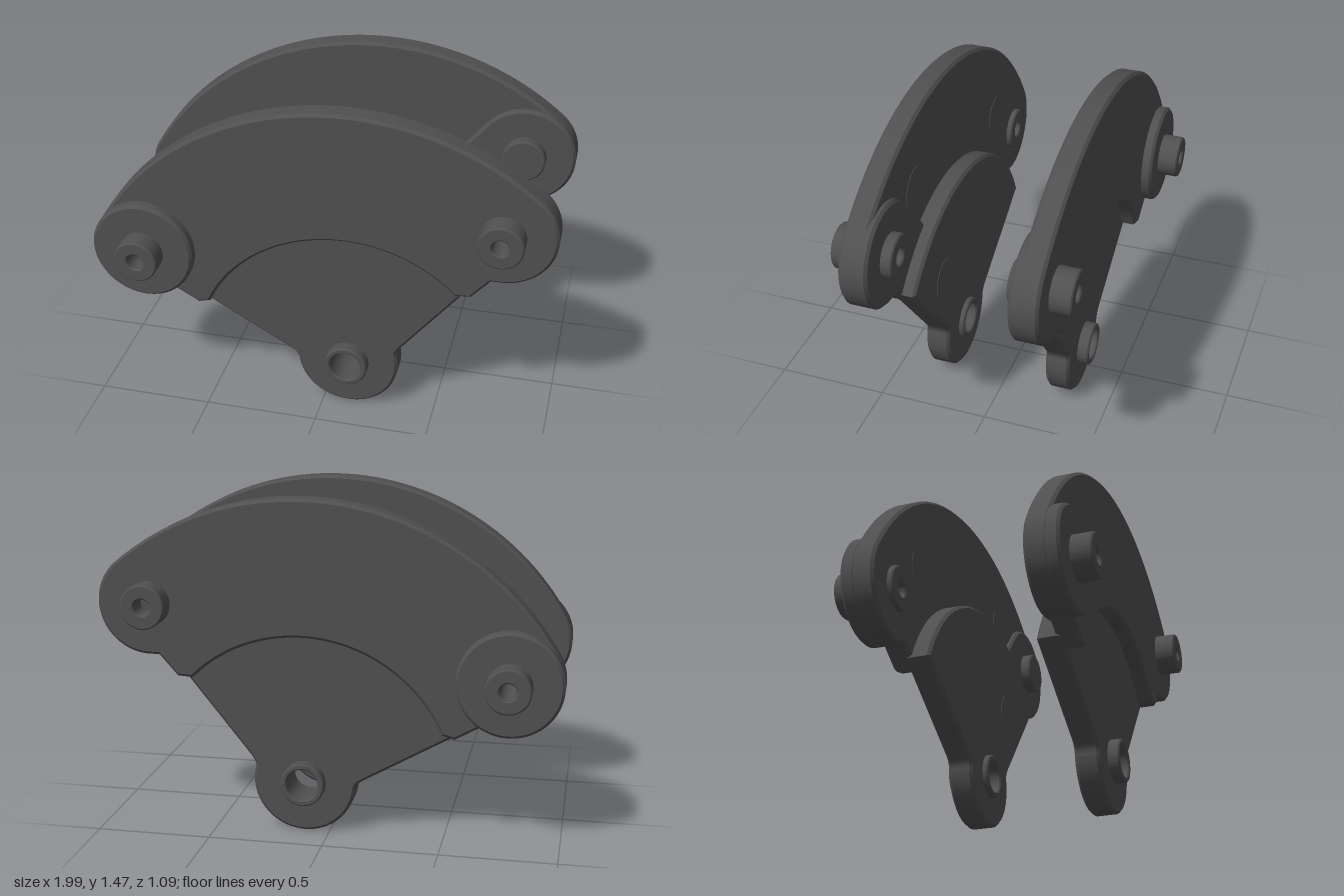
import * as THREE from 'three';
import { toCreasedNormals } from 'three/addons/utils/BufferGeometryUtils.js';

const rad = THREE.MathUtils.degToRad;
const material = new THREE.MeshStandardMaterial({ color: 0x505050 });

// Layout: both lugs sit on one arc around the pivot
const PIVOT = [0.11, 0.23];
const LEFT_ANGLE = 149.8, RIGHT_ANGLE = 50;
const LUG_R = 0.225, OUTER_R = 1.25, BOSS_R = 0.096;
const polar = (angle, r) => [
  PIVOT[0] + r * Math.cos(rad(angle)),
  PIVOT[1] + r * Math.sin(rad(angle)),
];
const LEFT_LUG = polar(LEFT_ANGLE, OUTER_R - LUG_R);
const RIGHT_LUG = polar(RIGHT_ANGLE, OUTER_R - LUG_R);

function arc(shape, [x, y], r, from, to, clockwise) {
  shape.absarc(x, y, r, rad(from), rad(to), clockwise);
}

function circle([x, y], r) {
  return new THREE.Shape().absarc(x, y, r, 0, Math.PI * 2, false);
}

// Bevelled slab between two depths; holes are [centre, radius]
function slab(name, outline, z0, z1, bevel, holes = []) {
  const points = outline.getPoints(40);
  const clean = points.filter((p, i) =>
    p.distanceTo(points[(i + 1) % points.length]) > 1e-4);
  const shape = new THREE.Shape(clean);
  shape.holes = holes.map(([c, r]) => new THREE.Path(circle(c, r).getPoints(24).slice(0, -1)));
  const geometry = new THREE.ExtrudeGeometry(shape, {
    depth: z1 - z0 - 2 * bevel,
    bevelEnabled: bevel > 0,
    bevelThickness: bevel,
    bevelSize: bevel,
    bevelOffset: -bevel,
    bevelSegments: 1,
  });
  geometry.translate(0, 0, z0 + bevel);
  const mesh = new THREE.Mesh(toCreasedNormals(geometry, 0.5), material);
  mesh.name = name;
  return mesh;
}

// Crescent plate joining the two lugs
function crescentOutline() {
  const s = new THREE.Shape();
  arc(s, PIVOT, OUTER_R, LEFT_ANGLE, RIGHT_ANGLE, true);
  arc(s, RIGHT_LUG, LUG_R, RIGHT_ANGLE, -90, true);
  s.lineTo(0.73, 0.79);
  s.lineTo(0.65, 0.7);
  s.lineTo(0.585, 0.695);
  arc(s, PIVOT, 0.663, 45, 156, false);
  s.lineTo(-0.55, 0.485);
  s.lineTo(-0.655, 0.545);
  arc(s, LEFT_LUG, LUG_R, -64, LEFT_ANGLE - 360, true);
  return s;
}

// Fan plate running from the pivot eye to under the crescent
function fanOutline() {
  const s = new THREE.Shape();
  arc(s, PIVOT, 0.77, 42.3, 158.5, false);
  s.lineTo(-0.15, 0.25);
  s.quadraticCurveTo(-0.112, 0.23, ...polar(190, LUG_R));
  arc(s, PIVOT, LUG_R, 190, 373, false);
  s.quadraticCurveTo(0.32, 0.305, 0.36, 0.35);
  return s;
}

// Right lug pad, with an arm reaching back towards the pivot
function armOutline() {
  const s = new THREE.Shape();
  const dir = new THREE.Vector2(Math.cos(rad(RIGHT_ANGLE)), Math.sin(rad(RIGHT_ANGLE)));
  const at = (along, side) => [
    PIVOT[0] + dir.x * along - dir.y * side,
    PIVOT[1] + dir.y * along + dir.x * side,
  ];
  arc(s, RIGHT_LUG, LUG_R, -90, RIGHT_ANGLE + 90, false);
  s.lineTo(...at(0.68, LUG_R));
  s.lineTo(...at(0.68, -0.11));
  s.lineTo(...at(0.82, -0.11));
  return s;
}

function createSide(blindRightHole) {
  const side = new THREE.Group();
  const seat = 0.08;
  side.add(
    slab('crescentPlate', crescentOutline(), 0.31, 0.41, 0.012,
      [[LEFT_LUG, seat], [RIGHT_LUG, seat]]),
    slab('fanPlate', fanOutline(), 0.23, 0.34, 0.012, [[PIVOT, seat]]),
    slab('leftLugPad', circle(LEFT_LUG, LUG_R), 0.39, 0.457, 0.012, [[LEFT_LUG, seat]]),
    slab('rightLugArm', armOutline(), 0.287, 0.335, 0.012, [[RIGHT_LUG, seat]]),
    // Hollow bosses
    slab('leftBoss', circle(LEFT_LUG, BOSS_R), 0.285, 0.547, 0.006, [[LEFT_LUG, 0.036]]),
    slab('rightBoss', circle(RIGHT_LUG, BOSS_R), 0.24, 0.502, 0.006, [[RIGHT_LUG, 0.036]]),
    slab('pivotBoss', circle(PIVOT, BOSS_R), 0.207, 0.39, 0.006, [[PIVOT, 0.07]]),
  );
  // Nearly flush round marks on the inner faces
  const marks = [[0.43, 1.12, 0.31], [-0.54, 0.945, 0.31], [0.345, 0.61, 0.23]];
  for (const [x, y, z] of marks) {
    side.add(slab('innerMark', circle([x, y], 0.1), z - 0.002, z + 0.01, 0));
  }
  if (blindRightHole) {
    side.add(slab('rightBossPlug', circle(RIGHT_LUG, 0.044), 0.24, 0.4, 0));
  }
  return side;
}

export function createModel() {
  const model = new THREE.Group();
  model.name = 'linkPlatePair';
  const front = createSide(false);
  front.name = 'frontSide';
  // Mirrored twin
  const back = createSide(true);
  back.name = 'backSide';
  back.scale.z = -1;
  model.add(front, back);
  return model;
}
